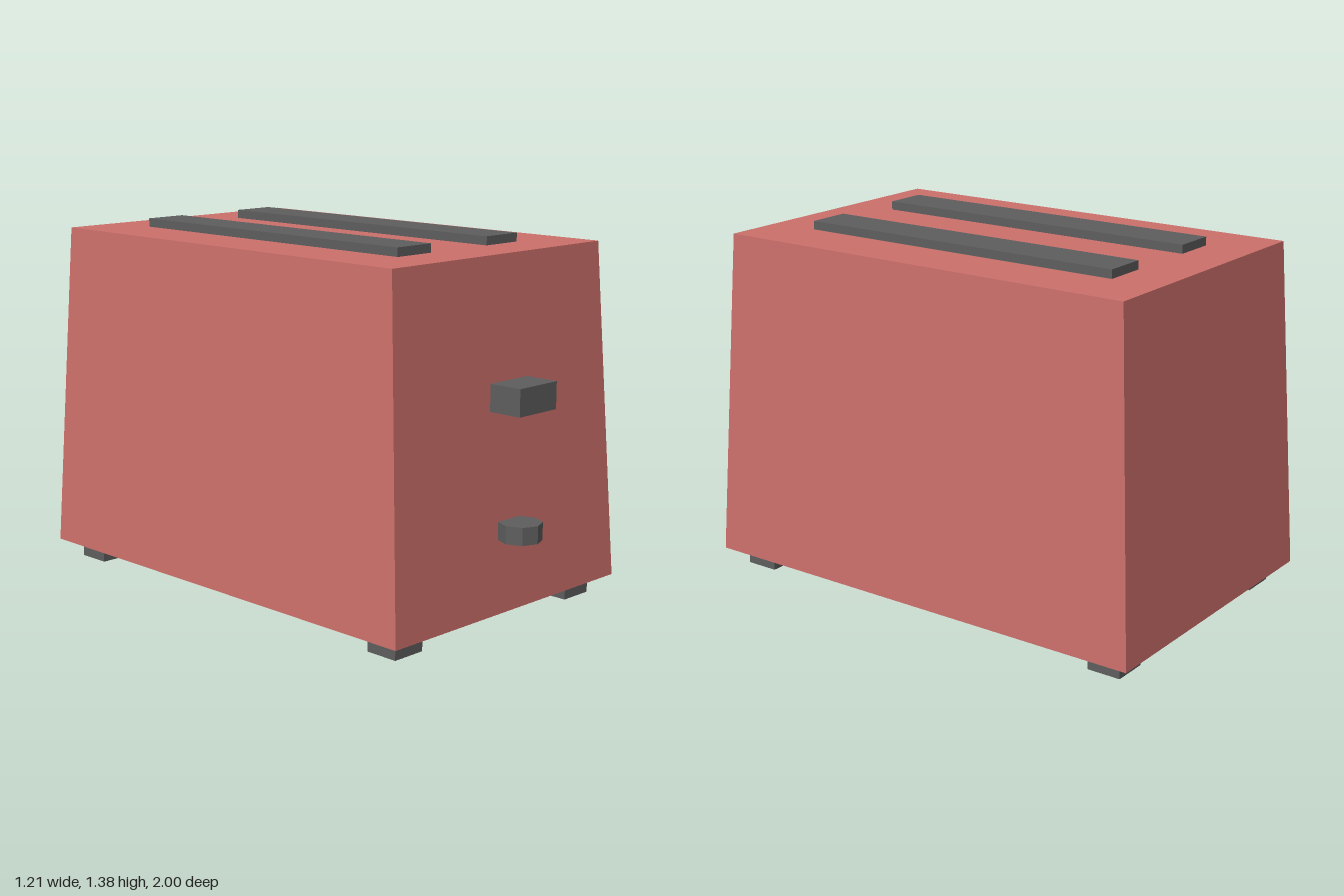
import * as THREE from 'three';

export function createModel() {
  const toaster = new THREE.Group();
  toaster.name = 'toaster';

  const shellRed = new THREE.MeshStandardMaterial({ name: 'shellRed', color: 0xcd706b });
  const darkGrey = new THREE.MeshStandardMaterial({ name: 'darkGrey', color: 0x5e5e5f });

  function add(name, geometry, material, x, y, z) {
    const mesh = new THREE.Mesh(geometry, material);
    mesh.name = name;
    mesh.position.set(x, y, z);
    toaster.add(mesh);
  }
  // Box given by its limits on each axis
  function addBox(name, [x0, x1], [y0, y1], [z0, z1]) {
    add(name, new THREE.BoxGeometry(x1 - x0, y1 - y0, z1 - z0), darkGrey,
      (x0 + x1) / 2, (y0 + y1) / 2, (z0 + z1) / 2);
  }

  // Body: a box whose top is drawn in on all sides
  const bodyShape = new THREE.BoxGeometry(1.21, 1.28, 1.885);
  const p = bodyShape.attributes.position;
  for (let i = 0; i < p.count; i++) {
    if (p.getY(i) > 0) {
      p.setX(i, p.getX(i) * (0.555 / 0.605));
      p.setZ(i, p.getZ(i) * (1.735 / 1.885));
    }
  }
  const body = bodyShape.toNonIndexed();
  body.computeVertexNormals();
  add('body', body, shellRed, 0, 0.71, -0.0575);

  // Bread slots and feet, mirrored left and right
  for (const [side, s] of [['left', 1], ['right', -1]]) {
    const span = (a, b) => (s > 0 ? [a, b] : [-b, -a]);
    addBox(side + 'Slot', span(0.15, 0.32), [1.34, 1.383], [-0.73, 0.615]);
    addBox(side + 'FrontFoot', span(0.4, 0.537), [0, 0.08], [0.687, 0.82]);
    addBox(side + 'BackFoot', span(0.4, 0.537), [0, 0.08], [-0.933, -0.8]);
  }

  // Lever and eight-sided knob on the front
  addBox('lever', [-0.1, 0.1], [0.81, 0.91], [0.855, 0.988]);
  const knob = new THREE.CylinderGeometry(0.08, 0.08, 0.066, 8).toNonIndexed();
  knob.computeVertexNormals();
  add('knob', knob, darkGrey, 0, 0.373, 0.92);

  return toaster;
}
